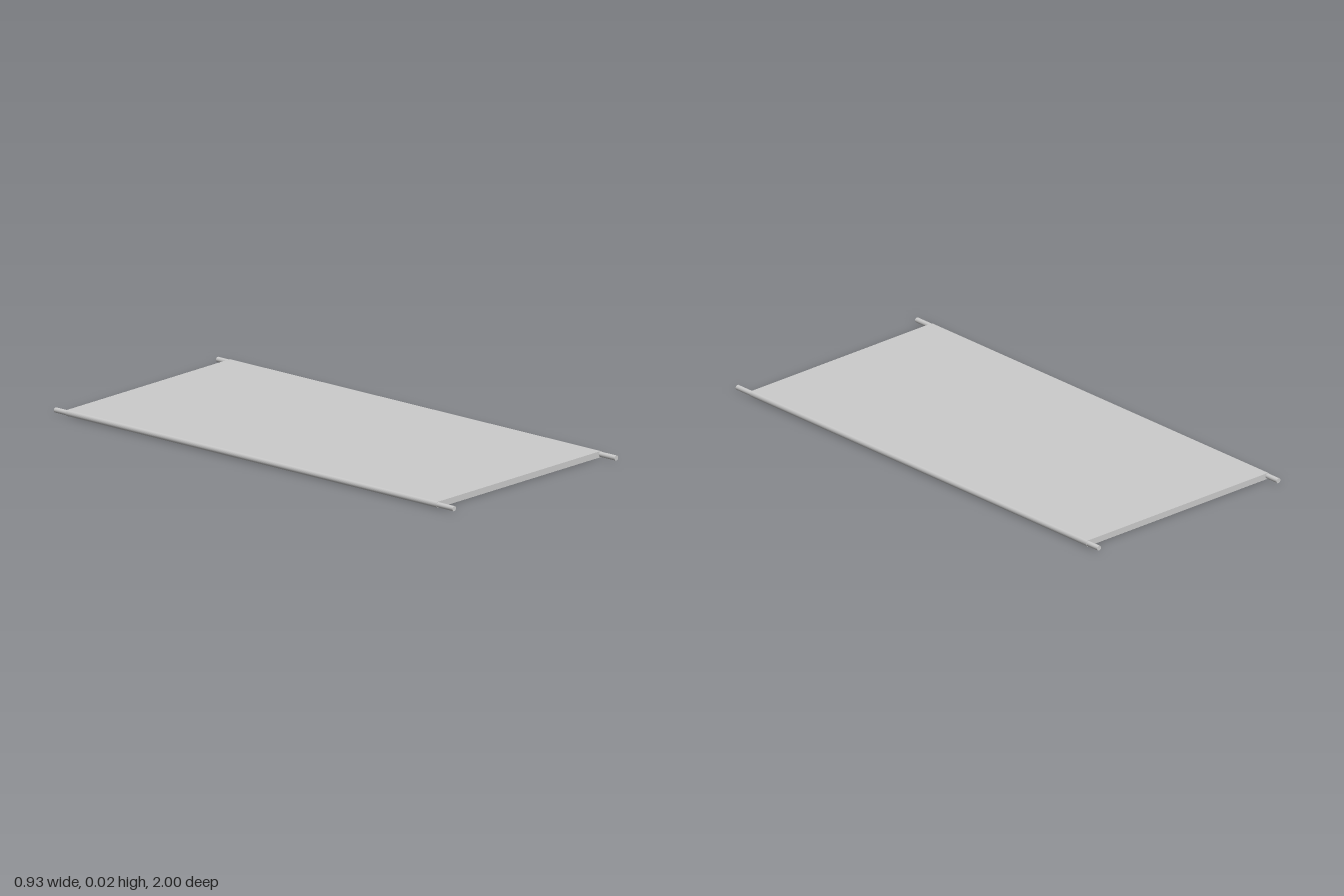
import * as THREE from 'three';

const mat = new THREE.MeshStandardMaterial({ color: 0xcccccc });
const HALF = 0.456; // pole centre line
const MID = 0.012; // height of the pole centres

// Long carrying pole running the full length
function makePole(side, name) {
  const geometry = new THREE.CylinderGeometry(0.01, 0.01, 2, 24);
  geometry.rotateX(Math.PI / 2);
  const pole = new THREE.Mesh(geometry, mat);
  pole.name = name;
  pole.position.set(side * HALF, MID, 0);
  return pole;
}

// Flat bed wrapped around both poles, with rounded long edges
function makeBed(back, front) {
  const s = new THREE.Shape();
  s.moveTo(-HALF, 0);
  s.lineTo(HALF, 0);
  s.absellipse(HALF, MID, 0.0105, MID, -Math.PI / 2, Math.PI / 2, false);
  s.lineTo(-HALF, 2 * MID);
  s.absellipse(-HALF, MID, 0.0105, MID, Math.PI / 2, Math.PI * 1.5, false);
  const geometry = new THREE.ExtrudeGeometry(s, {
    depth: front - back, bevelEnabled: false, curveSegments: 12,
  });
  const bed = new THREE.Mesh(geometry, mat);
  bed.name = 'bed';
  bed.position.z = back;
  return bed;
}

export function createModel() {
  const group = new THREE.Group();
  group.name = 'stretcher';
  group.add(makeBed(-0.94, 0.92), makePole(1, 'leftPole'), makePole(-1, 'rightPole'));
  return group;
}
